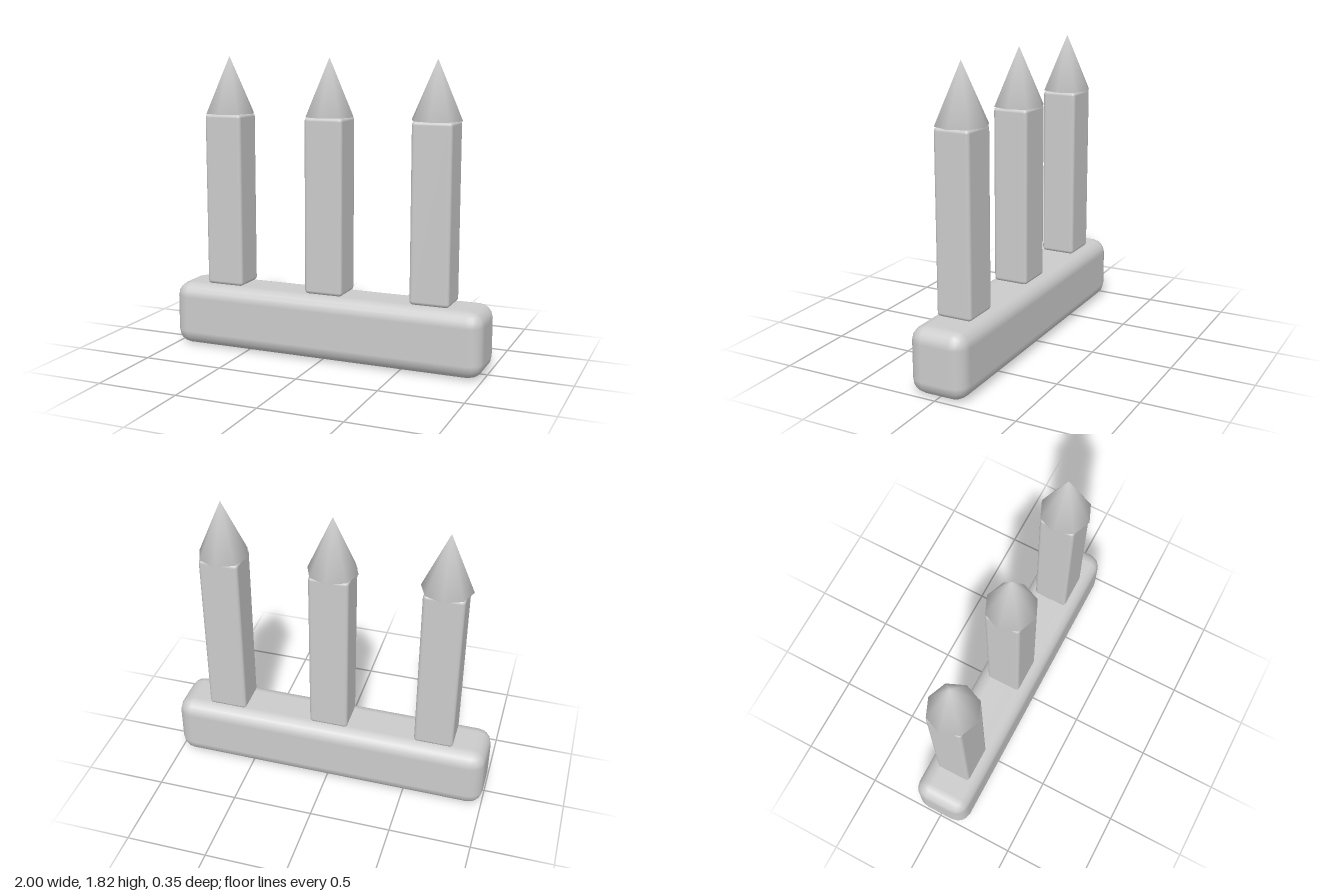
import * as THREE from 'three';
import { RoundedBoxGeometry } from 'three/addons/geometries/RoundedBoxGeometry.js';
import { mergeVertices } from 'three/addons/utils/BufferGeometryUtils.js';

const BASE = { width: 2, height: 0.4, depth: 0.355, radius: 0.09 };
const POST = { width: 0.243, height: 1.072, depth: 0.22, radius: 0.022 };
const TIP = { radius: 0.153, height: 0.35, sides: 8 };
const SPACING = 0.667;

// Eight-sided cone whose shading is blended across the rim
function softCone({ radius, height, sides }) {
  const cone = new THREE.ConeGeometry(radius, height, sides);
  cone.deleteAttribute('normal');
  cone.deleteAttribute('uv');
  const merged = mergeVertices(cone, 1e-4);
  merged.computeVertexNormals();
  return merged;
}

function roundedBox({ width, height, depth, radius }) {
  return new RoundedBoxGeometry(width, height, depth, 2, radius);
}

export function createModel() {
  const group = new THREE.Group();
  const material = new THREE.MeshStandardMaterial({ color: 0xcccccc });

  function add(name, geometry, x, y, parent = group) {
    const mesh = new THREE.Mesh(geometry, material);
    mesh.name = name;
    mesh.position.set(x, y, 0);
    parent.add(mesh);
  }

  // Long rounded bar standing on the ground
  add('base', roundedBox(BASE), 0, BASE.height / 2);

  // Three upright posts, each with a pointed tip
  const postGeometry = roundedBox(POST);
  const tipGeometry = softCone(TIP);
  ['right', 'middle', 'left'].forEach((side, i) => {
    const spike = new THREE.Group();
    spike.name = side + 'Spike';
    spike.position.set((i - 1) * SPACING, BASE.height, 0);
    add(side + 'Post', postGeometry, 0, POST.height / 2, spike);
    add(side + 'Tip', tipGeometry, 0, POST.height + TIP.height / 2, spike);
    group.add(spike);
  });

  return group;
}
